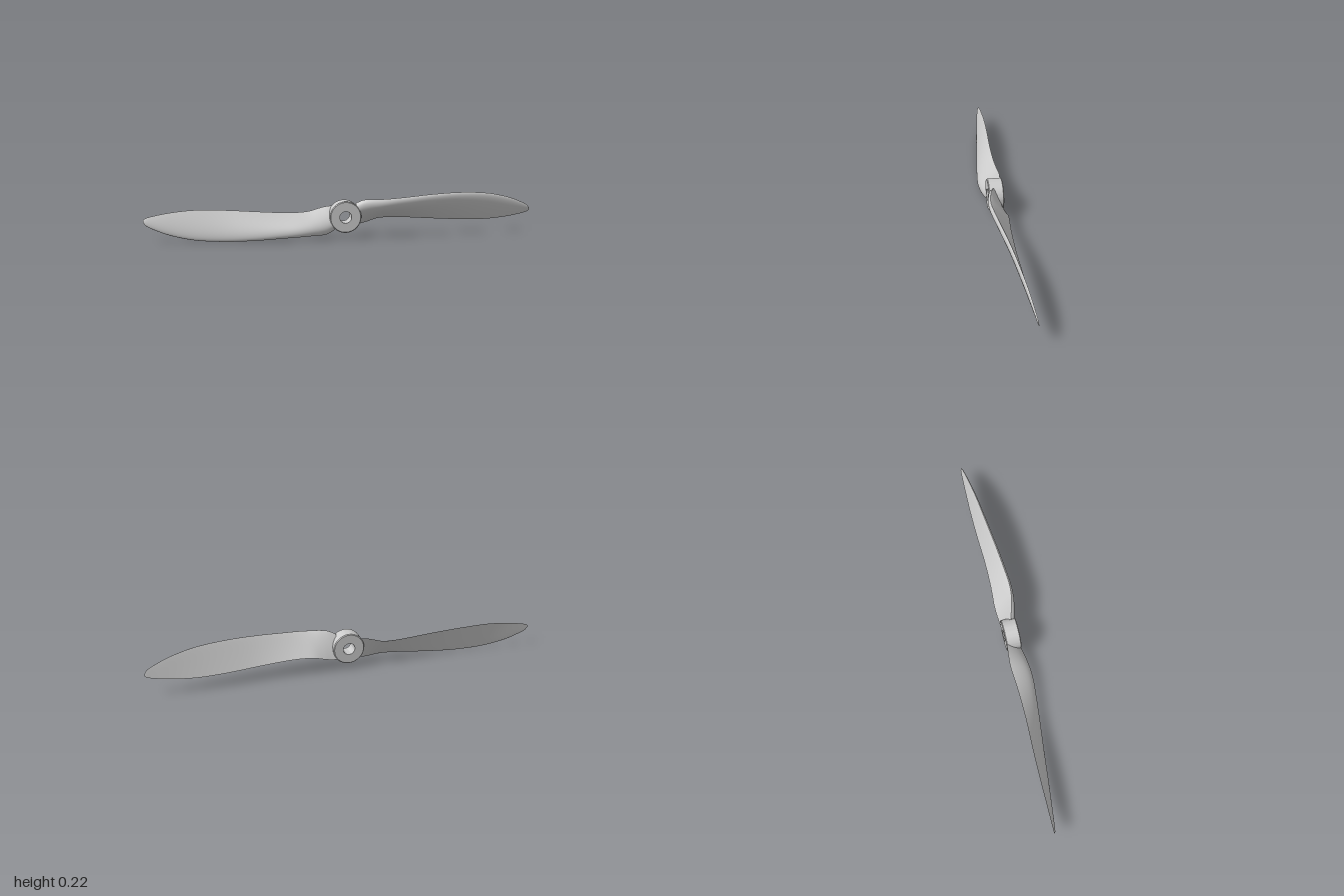
import * as THREE from 'three';
import { toCreasedNormals } from 'three/addons/utils/BufferGeometryUtils.js';

const AXIS_Y = 0.11;

// Blade stations: x, trailing edge y z, leading edge y z, thickness (y measured from the floor)
const STATIONS = [
  [0.055, 0.060, -0.046, 0.178, 0.005, 0.034],
  [0.09, 0.063, -0.048, 0.194, 0.016, 0.036],
  [0.13, 0.073, -0.052, 0.199, 0.027, 0.037],
  [0.18, 0.087, -0.054, 0.199, 0.037, 0.036],
  [0.24, 0.091, -0.050, 0.202, 0.040, 0.033],
  [0.32, 0.089, -0.046, 0.207, 0.034, 0.029],
  [0.45, 0.080, -0.045, 0.216, 0.021, 0.024],
  [0.60, 0.070, -0.050, 0.220, 0.004, 0.020],
  [0.75, 0.066, -0.052, 0.211, -0.012, 0.016],
  [0.87, 0.076, -0.051, 0.186, -0.027, 0.012],
  [0.95, 0.090, -0.050, 0.156, -0.037, 0.008],
  [0.985, 0.099, -0.049, 0.138, -0.042, 0.006],
  [1.0, 0.108, -0.048, 0.120, -0.045, 0.003]
];

// Airfoil thickness, 0 at both edges, about 1 at its fullest; s runs from the leading edge
const airfoil = (s) =>
  2 * (1.4845 * Math.sqrt(s) - 0.63 * s - 1.758 * s ** 2 + 1.4215 * s ** 3 - 0.518 * s ** 4);

function bladeGeometry() {
  const curve = (f) => new THREE.CatmullRomCurve3(
    STATIONS.map((p) => new THREE.Vector3(p[0], ...f(p))), false, 'catmullrom');
  const trailing = curve((p) => [p[1] - AXIS_Y, p[2]]);
  const leading = curve((p) => [p[3] - AXIS_Y, p[4]]);
  const thick = curve((p) => [p[5], 0]);

  const rings = 72, half = 20, count = half * 2 + 1;
  const pos = [], index = [];
  for (let i = 0; i <= rings; i++) {
    const T = trailing.getPoint(i / rings);
    const L = leading.getPoint(i / rings);
    const th = thick.getPoint(i / rings).y;
    const chord = L.clone().sub(T);
    const normal = new THREE.Vector3(0, -chord.z, chord.y).normalize();
    for (let j = 0; j < count; j++) {
      // front side up to the leading edge, then back along the nearly flat rear side
      const a = (j / half - 1) * Math.PI / 2;
      const s = Math.min(1, 1 - Math.cos(a));
      const offset = th * airfoil(s) * (j <= half ? 0.92 : -0.08);
      const p = L.clone().lerp(T, s).addScaledVector(normal, offset);
      pos.push(p.x, p.y, p.z);
    }
  }
  for (let i = 0; i < rings; i++) {
    for (let j = 0; j < count - 1; j++) {
      const a = i * count + j, b = a + 1, c = a + count, d = c + 1;
      index.push(a, c, b, b, c, d);
    }
  }
  // Flat caps at the root and the tip
  for (const [ring, tip] of [[0, false], [rings, true]]) {
    const start = pos.length / 3;
    for (let j = 0; j < count; j++) {
      const k = (ring * count + j) * 3;
      pos.push(pos[k], pos[k + 1], pos[k + 2]);
    }
    for (let j = 0; j < half; j++) {
      const a = start + j, b = a + 1, c = start + count - 1 - j, d = c - 1;
      if (tip) index.push(a, c, b, b, c, d);
      else index.push(a, b, c, b, d, c);
    }
  }
  const g = new THREE.BufferGeometry();
  g.setAttribute('position', new THREE.Float32BufferAttribute(pos, 3));
  g.setIndex(index);
  g.computeVertexNormals();
  return g;
}

// Bored hub with slightly broken edges, its axis along z
function hubGeometry() {
  const back = -0.047, front = 0.028, R = 0.08, r = 0.03, c = 0.004;
  const profile = [
    [r, back], [R - c, back], [R, back + c], [R, front - c], [R - c, front], [r, front], [r, back]
  ].map(([x, y]) => new THREE.Vector2(x, y));
  const g = new THREE.LatheGeometry(profile, 64);
  g.rotateX(Math.PI / 2);
  return toCreasedNormals(g, 0.5);
}

export function createModel() {
  const model = new THREE.Group();
  model.name = 'propeller';
  const material = new THREE.MeshStandardMaterial({ color: 0xcccccc });

  const hub = new THREE.Mesh(hubGeometry(), material);
  hub.name = 'hub';
  hub.position.y = AXIS_Y;
  model.add(hub);

  // The second blade is the first one turned half way round the shaft
  const geometry = bladeGeometry();
  ['leftBlade', 'rightBlade'].forEach((name, i) => {
    const blade = new THREE.Mesh(geometry, material);
    blade.name = name;
    blade.position.y = AXIS_Y;
    blade.rotation.z = i * Math.PI;
    model.add(blade);
  });
  return model;
}
